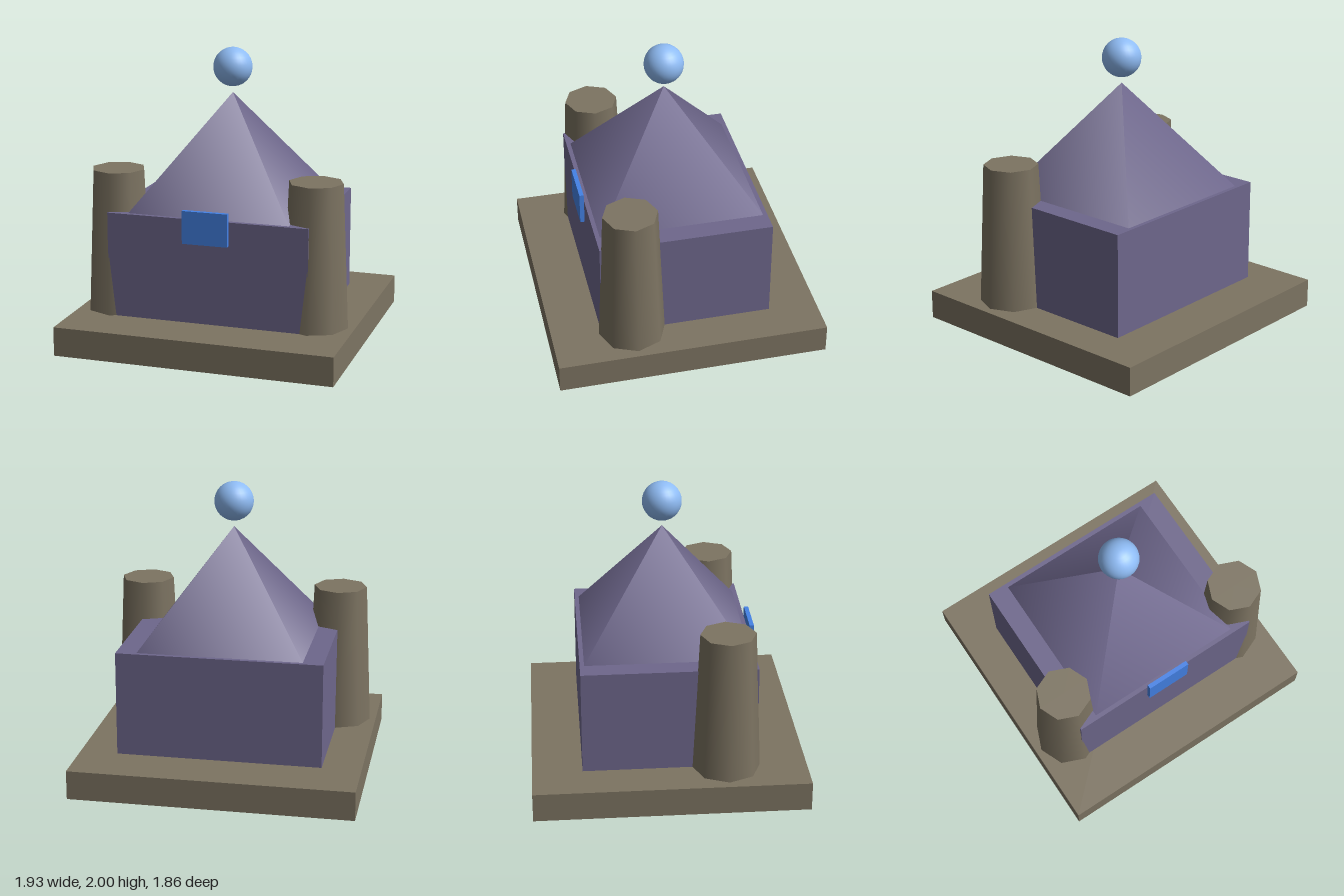
import * as THREE from 'three';

const paint = (color) => new THREE.MeshStandardMaterial({ color });

export function createModel() {
  const model = new THREE.Group();
  const stone = paint(0x7d7462);
  const purple = paint(0x6e678c);

  const add = (name, geometry, material, x, y, z) => {
    const mesh = new THREE.Mesh(geometry, material);
    mesh.name = name;
    mesh.position.set(x, y, z);
    model.add(mesh);
    return mesh;
  };

  // Ground slab, with the building resting just above it
  add('base', new THREE.BoxGeometry(1.93, 0.2, 1.86), stone, 0, 0.1, 0);
  add('hall', new THREE.BoxGeometry(1.4, 0.72, 1.18), purple, 0, 0.57, 0);

  // Four-sided pyramid roof, smooth shaded, edges parallel to the walls
  const roof = new THREE.ConeGeometry(0.56 * Math.SQRT2, 0.76, 4);
  roof.rotateY(Math.PI / 4);
  add('roof', roof, purple, 0, 1.31, 0);

  // Tapered eight-sided towers at the front corners
  for (const [name, side] of [['leftTower', 1], ['rightTower', -1]]) {
    add(name, new THREE.CylinderGeometry(0.185, 0.23, 0.985, 8), stone, side * 0.695, 0.7025, 0.38);
  }

  // Plaque over the front wall and the orb floating above the roof
  add('plaque', new THREE.BoxGeometry(0.315, 0.225, 0.03), paint(0x4482e6), 0, 0.88, 0.608);
  add('orb', new THREE.SphereGeometry(0.134, 32, 16), paint(0x8fbcf5), 0, 1.866, 0);

  return model;
}
